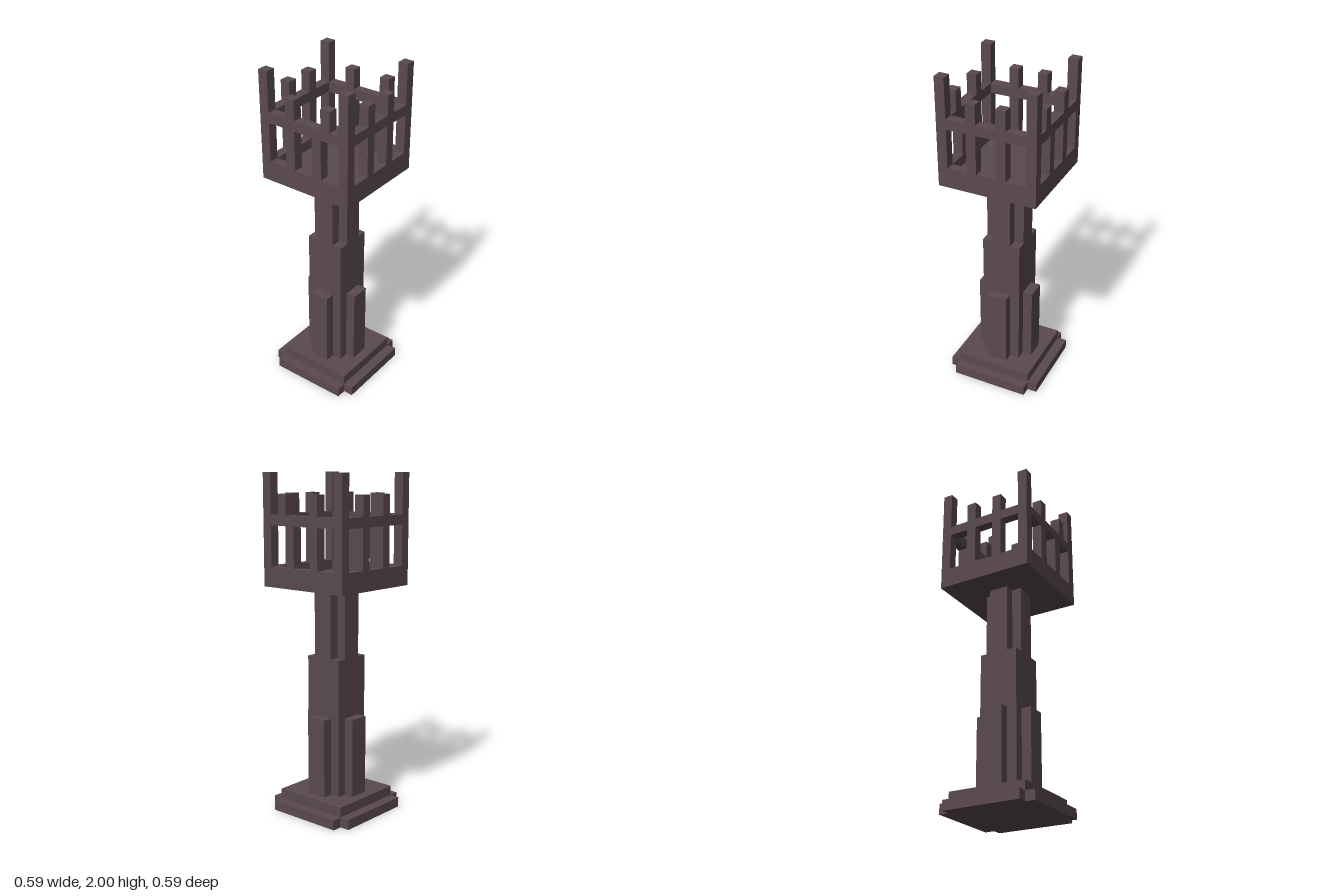
import * as THREE from 'three';

const U = 1 / 17; // one block unit; the tower is 34 units tall

export function createModel() {
  const tower = new THREE.Group();
  tower.name = 'tower';
  const stone = new THREE.MeshStandardMaterial({ color: 0x5a4a4d });
  stone.name = 'dark stone';

  // Box given by its min and max corners in block units
  function block(name, [x0, y0, z0], [x1, y1, z1], parent = tower) {
    const mesh = new THREE.Mesh(
      new THREE.BoxGeometry((x1 - x0) * U, (y1 - y0) * U, (z1 - z0) * U), stone);
    mesh.position.set((x0 + x1) / 2 * U, (y0 + y1) / 2 * U, (z0 + z1) / 2 * U);
    mesh.name = name;
    parent.add(mesh);
  }

  // Base and shaft
  block('basePlinth', [-4, 0, -4], [4, 2, 4]);
  block('lowerShaft', [-2, 2, -2], [2, 16, 2]);
  block('upperShaftCore', [-1, 16, -1], [1, 23, 1]);

  // Platform floor, recessed inside its rim
  block('platformFloor', [-5, 23, -5], [5, 24, 5]);

  // The four sides: front, left, back, right
  ['front', 'left', 'back', 'right'].forEach((label, i) => {
    const side = new THREE.Group();
    side.name = label + 'Side';
    side.rotation.y = i * Math.PI / 2;
    tower.add(side);

    block('baseStep', [-4, 0, 4], [4, 1, 5], side);
    block('buttress', [-1, 2, 2], [1, 10, 3], side);
    block('upperShaftRib', [-1, 16, 1], [1, 23, 2], side);
    block('platformRim', [-4, 24, 4], [4, 25, 5], side);
    block('cornerPost', [4, 24, 4], [5, 34, 5], side);
    block('rail', [-4, 29, 4], [4, 30, 5], side);
    for (const x of [-2, 1]) block('baluster', [x, 25, 4], [x + 1, 29, 5], side);

    // Merlons on front and back are offset on the +x end
    const merlons = i === 0 ? [-2, 2] : i === 2 ? [-3, 1] : [-2, 1];
    for (const x of merlons) block('merlon', [x, 30, 4], [x + 1, 32, 5], side);
  });

  return tower;
}
